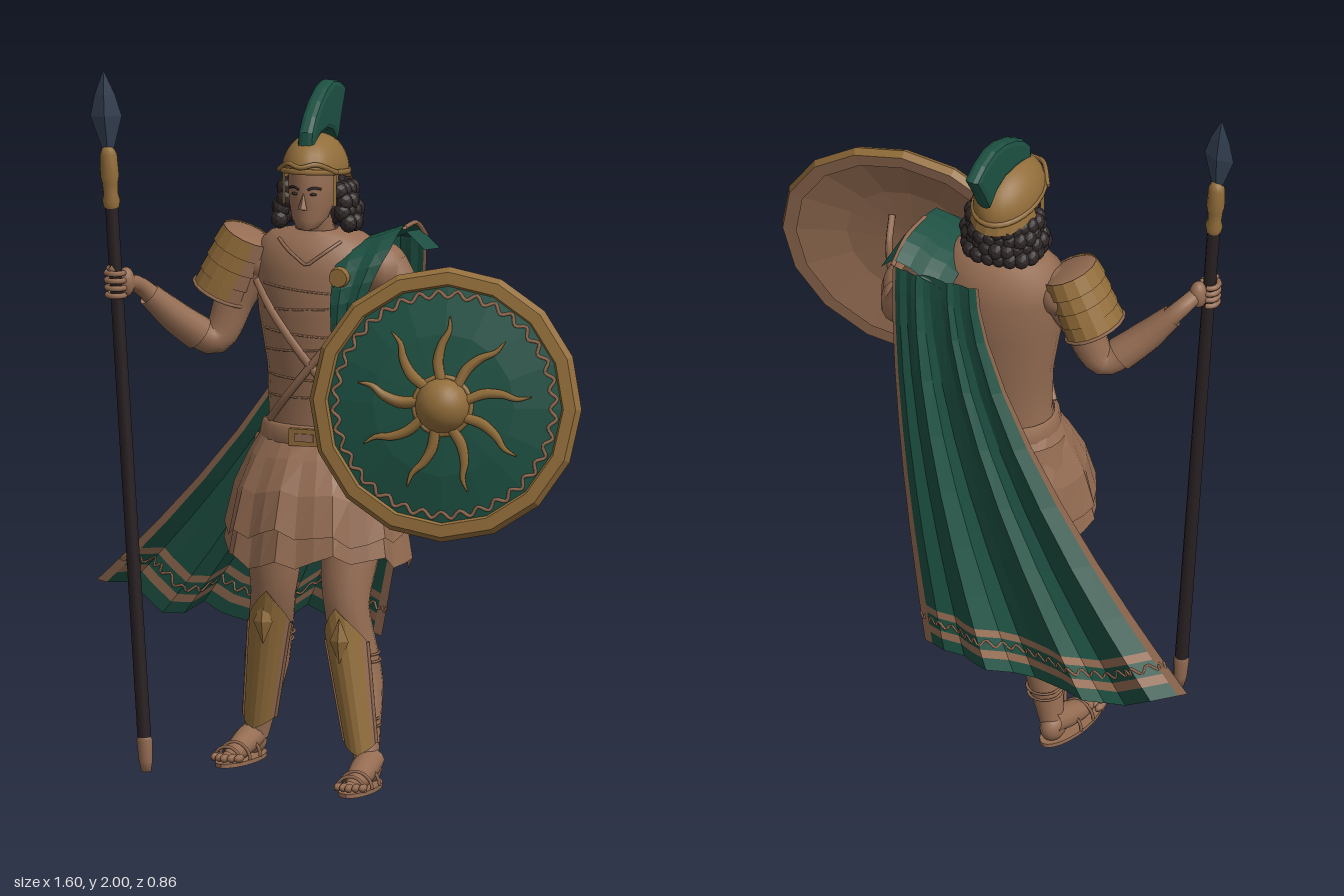
import * as THREE from 'three';
import { mergeVertices } from 'three/addons/utils/BufferGeometryUtils.js';

const mat = (name, color) => Object.assign(new THREE.MeshStandardMaterial({ color, side: THREE.DoubleSide }), { name });
const M = {
  skin: mat('tan', 0x946c52), green: mat('green', 0x1d5042), gold: mat('bronze', 0x926d3a),
  shaft: mat('dark wood', 0x292123), steel: mat('steel', 0x354254), hair: mat('dark hair', 0x2e2626),
};
const V = (x, y, z) => new THREE.Vector3(x, y, z);
const lerp = THREE.MathUtils.lerp;

// Linear lookup in a table of rows sorted by their first number
function lookup(table, k) {
  let i = 0;
  while (i < table.length - 2 && k > table[i + 1][0]) i++;
  const a = table[i], b = table[i + 1], t = THREE.MathUtils.clamp((k - a[0]) / (b[0] - a[0]), 0, 1);
  return a.map((n, j) => lerp(n, b[j], t));
}

// Surface f(i, j) over a grid of points; keep(i, j) picks the cells
function grid(nu, nv, f, smooth = false, keep = () => true) {
  const p = [];
  for (let j = 0; j < nv; j++) for (let i = 0; i < nu; i++) if (keep(i, j)) {
    const a = f(i, j), b = f(i + 1, j), c = f(i + 1, j + 1), d = f(i, j + 1);
    for (const v of [a, b, d, b, c, d]) p.push(v.x, v.y, v.z);
  }
  let g = new THREE.BufferGeometry();
  g.setAttribute('position', new THREE.Float32BufferAttribute(p, 3));
  if (smooth) g = mergeVertices(g, 1e-4);
  g.computeVertexNormals();
  return g;
}

// Horizontal elliptical rings: [y, x, z, radiusX, radiusZ]
function loft(rows, n = 24) {
  return grid(n, rows.length - 1, (i, j) => {
    const [y, x, z, rx, rz] = rows[j], a = (i % n) / n * Math.PI * 2;
    return V(x + rx * Math.sin(a), y, z + rz * Math.cos(a));
  }, true);
}

// Tube along points with changing radius
function limb(points, radii, sides = 12, steps = 20, closed = false) {
  const curve = new THREE.CatmullRomCurve3(points.map(p => V(...p)), closed);
  const g = new THREE.TubeGeometry(curve, steps, 1, sides, closed), pos = g.attributes.position, v = V(0, 0, 0);
  const table = radii.map((q, k) => [k / (radii.length - 1 || 1), q]).concat([[1.001, radii.at(-1)]]);
  for (let i = 0; i < pos.count; i++) {
    const u = Math.floor(i / (sides + 1)) / steps, c = curve.getPointAt(u);
    v.fromBufferAttribute(pos, i).sub(c).multiplyScalar(lookup(table, u)[1]).add(c);
    pos.setXYZ(i, v.x, v.y, v.z);
  }
  return g;
}
function flat(g) { const f = g.index ? g.toNonIndexed() : g; f.computeVertexNormals(); return f; }
function ball(x, y, z, rx, ry = rx, rz = rx, n = 16) {
  return new THREE.SphereGeometry(1, n, Math.ceil(n * .7)).scale(rx, ry, rz).translate(x, y, z);
}

const TORSO = [[.93, -.05, -.03, .165, .13], [1, -.045, -.03, .155, .12], [1.15, -.045, -.03, .16, .125],
  [1.3, -.05, -.03, .18, .14], [1.42, -.05, -.03, .19, .14], [1.49, -.055, -.03, .182, .12], [1.525, -.06, -.025, .135, .085],
  [1.54, -.06, -.01, .06, .06]];
function chest(x, y, off) {
  const [, cx, cz, rx, rz] = lookup(TORSO, y);
  return [x, y, cz + off + rz * Math.sqrt(Math.max(.02, 1 - ((x - cx) / rx) ** 2))];
}
function across(x0, y0, x1, y1, off) {
  return Array.from({ length: 7 }, (_, i) => chest(lerp(x0, x1, i / 6), lerp(y0, y1, i / 6), off));
}

export function createModel() {
  const root = new THREE.Group();
  const add = (name, g, m, parent = root) => {
    const o = new THREE.Mesh(g, m); o.name = name; parent.add(o); return o;
  };
  const sub = name => { const g = new THREE.Group(); g.name = name; root.add(g); return g; };

  // Torso, armour ridges and crossed straps
  add('torso', loft(TORSO), M.skin);
  for (const [y, d] of [[1.39, -.02], [1.32, .015], [1.26, -.015], [1.2, .02], [1.13, -.01], [1.07, .01]])
    add('torsoRidge', limb(across(-.19, y, .08, y + d, .001), [.003], 5), M.skin);
  add('collar', limb([...across(-.15, 1.515, -.06, 1.455, .003), ...across(-.05, 1.455, .03, 1.515, .003)], [.005], 6), M.skin);
  add('strap', limb(across(-.22, 1.39, .09, 1.0, .004), [.012], 6), M.skin);
  add('strap', limb(across(.1, 1.34, -.18, 1.0, .006), [.012], 6), M.skin);
  add('belt', loft([[.94, -.05, -.03, .17, .13], [.945, -.05, -.03, .178, .143], [.99, -.048, -.03, .172, .138], [.995, -.048, -.03, .16, .12]]), M.skin);
  add('buckle', new THREE.BoxGeometry(.09, .048, .016).translate(-.055, .967, .113), M.gold);
  add('buckleSlot', new THREE.BoxGeometry(.055, .022, .006).translate(-.055, .967, .122), M.skin);

  // Wrapped skirt in two broad-pleated layers, dipping behind the left hip
  for (const [name, low, out, seed] of [['innerSkirt', .61, 0, 0], ['outerSkirt', .68, .006, 2]]) {
    const n = 30, levels = [[0, 0], [.2, .32], [.55, .75], [1, 1]];
    add(name, grid(n, 3, (i, j) => {
      const k = i % n, a = k / n * Math.PI * 2, [h, w] = levels[j];
      const hem = low + .015 * Math.sin(a * 3 + seed) + .014 * (k % 3) - .06 * Math.max(0, Math.cos(a - 2.4)) ** 6;
      const full = (low - .6) / .4, pleat = ((k % 3) - 1) * .008 * h;
      const rx = lerp(.165, .262 - .04 * full, w) + out + pleat, rz = lerp(.128, .225 - .02 * full, w) + out + pleat;
      return V(-.055 + rx * Math.sin(a), lerp(.955, hem, h), lerp(-.03, -.01, h) + rz * Math.cos(a));
    }), M.skin);
  }

  // Legs with greaves, ankle bands and sandals
  for (const [side, leg, top, bot, foot, yaw] of [
    ['left', [[.05, .92, -.01], [.06, .7, .04], [.056, .5, .08], [.09, .3, .07], [.13, .06, .13]], [.052, .5, .09], [.122, .09, .135], [.14, .11], 0],
    ['right', [[-.15, .92, -.05], [-.195, .7, -.07], [-.21, .5, -.09], [-.247, .3, -.153], [-.285, .06, -.17]], [-.208, .5, -.1], [-.272, .09, -.16], [-.29, -.2], -.14]]) {
    const g = sub(side + 'Leg');
    add('leg', limb(leg, [.1, .092, .063, .064, .033], 16, 24), M.skin, g);
    const shin = (s, t, grow = 0) => {
      const a = s * 1.35, y = lerp(.5 - .1 * Math.abs(s), .09 + .03 * Math.abs(s), t);
      const k = (.5 - y) / .41, r = lerp(1, .68, k) + grow;
      return V(lerp(top[0], bot[0], k) + .067 * r * Math.sin(a), y, lerp(top[2], bot[2], k) + .09 * r * Math.cos(a));
    };
    const plate = (i, j) => shin(i / 4 - 1, 1 - j / 5), isSide = i => i === 0 || i === 7;
    add('greave', grid(8, 5, plate, false, i => !isSide(i)), M.gold, g);
    add('greaveSides', grid(8, 5, plate, false, isSide), M.skin, g);
    add('greaveLining', grid(8, 5, (i, j) => shin(i / 4 - 1, 1 - j / 5, -.07)), M.skin, g);
    for (const s of [-1, 1])
      add('greaveEdge', limb([0, .25, .5, .75, 1].map(t => shin(s, t).toArray()), [.006], 6), M.skin, g);
    const knee = shin(0, .22, .02);
    add('greaveBoss', flat(new THREE.OctahedronGeometry(1).scale(.028, .065, .014).translate(knee.x, knee.y, knee.z)), M.gold, g);
    for (const y of [.165, .185, .34, .36]) {
      const k = (.5 - y) / .41, r = y > .3 ? .064 : .047, low = y < .3;
      add('legBand', new THREE.TorusGeometry(r, .004, 5, 20).rotateX(Math.PI / 2)
        .translate(lerp(leg[2][0], leg[4][0], k), y, low ? leg[4][2] - .012 : leg[3][2]), M.skin, g);
    }
    const f = new THREE.Group(); f.name = 'foot'; g.add(f);
    f.position.set(foot[0], 0, foot[1]); f.rotation.y = yaw;
    const sole = new THREE.Shape().absellipse(0, 0, .05, .132, 0, Math.PI * 2);
    add('sole', new THREE.ExtrudeGeometry(sole, { depth: .012, bevelEnabled: false }).rotateX(-Math.PI / 2).translate(0, 0, .11), M.skin, f);
    add('heel', ball(0, .045, .025, .034, .042, .043), M.skin, f);
    add('instep', limb([[0, .07, .01], [0, .05, .08], [0, .028, .16], [0, .024, .2]], [.034, .036, .03, .016]).scale(1.15, 1, 1), M.skin, f);
    for (let i = 0; i < 5; i++)
      add('toe', ball((i - 2) * .018, .024, .215 - Math.abs(i - 2) * .008, .011, .012, .025, 8), M.skin, f);
    for (const [z, r] of [[.09, .05], [.15, .047], [.2, .042]])
      add('sandalStrap', new THREE.TorusGeometry(r, .005, 5, 12, Math.PI).translate(0, .012, z), M.skin, f);
  }

  // Arms: the right one raised to the spear, the left one behind the shield
  const ra = sub('rightArm'), la = sub('leftArm');
  add('shoulder', ball(-.235, 1.44, -.02, .065, .07, .075), M.skin, ra);
  add('arm', limb([[-.23, 1.44, -.02], [-.29, 1.34, -.005], [-.345, 1.215, .02], [-.43, 1.27, .075], [-.525, 1.375, .145], [-.545, 1.395, .195]],
    [.064, .057, .047, .04, .028, .022], 14, 30), M.skin, ra);
  add('bracer', limb([[-.385, 1.23, .045], [-.44, 1.28, .085], [-.505, 1.35, .13]], [.05, .045, .034]), M.skin, ra);
  add('palm', ball(-.55, 1.395, .2, .026, .042, .028), M.skin, ra);
  add('thumb', limb([[-.56, 1.4, .2], [-.575, 1.43, .235], [-.585, 1.445, .25]], [.012, .011, .008], 8), M.skin, ra);
  for (let i = 0; i < 4; i++)
    add('finger', new THREE.TorusGeometry(.025, .008, 7, 16, 4.6).rotateX(Math.PI / 2).translate(-.573 + i * .001, 1.425 - i * .021, .226), M.skin, ra);
  add('shoulder', ball(.135, 1.43, -.01, .07, .08, .08), M.skin, la);
  add('arm', limb([[.14, 1.44, -.01], [.21, 1.32, -.015], [.285, 1.19, -.01], [.345, 1.17, .1], [.395, 1.155, .23]], [.066, .058, .047, .04, .024], 14, 30), M.skin, la);
  add('bracer', limb([[.312, 1.18, .045], [.35, 1.17, .11], [.375, 1.16, .175]], [.051, .046, .036]), M.skin, la);
  add('hand', ball(.4, 1.15, .25, .032, .04, .03), M.skin, la);

  // Layered shoulder guard on the right arm: bronze outside, tan inside
  const guard = sub('shoulderGuard');
  guard.position.set(-.294, 1.427, -.005);
  guard.quaternion.setFromUnitVectors(V(0, 1, 0), V(.078, .165, 0).normalize());
  for (let i = 0; i < 4; i++) for (const [m, start, arc] of [[M.gold, Math.PI * 1.5 - 2.1, 4.2], [M.skin, Math.PI * 1.5 + 2.1, Math.PI * 2 - 4.2]])
    add('guardPlate', flat(new THREE.CylinderGeometry(.078 + i * .001, .085, .052, m === M.gold ? 10 : 5, 1, true, start, arc)
      .scale(1, 1, 1.1).translate(0, .068 - i * .045, 0)), m, guard);
  add('guardRim', new THREE.TorusGeometry(.085, .005, 6, 18).rotateX(Math.PI / 2).scale(1, 1, 1.1).translate(0, -.093, 0), M.skin, guard);
  add('guardCap', ball(0, .085, 0, .078, .018, .086), M.skin, guard);

  // Head and face
  const head = sub('head');
  add('neck', limb([[-.058, 1.49, -.02], [-.06, 1.54, -.005], [-.06, 1.61, .015]], [.06, .05, .05]), M.skin, head);
  add('skull', loft([[1.548, -.06, .085, .008, .008], [1.555, -.06, .075, .03, .032], [1.58, -.06, .05, .05, .06], [1.62, -.06, .03, .062, .08],
    [1.67, -.06, .022, .068, .092], [1.73, -.06, .01, .068, .095]]), M.skin, head);
  add('nose', flat(new THREE.ConeGeometry(.014, .05, 4).rotateX(-.25).translate(-.06, 1.637, .117)), M.skin, head);
  add('lips', ball(-.06, 1.597, .103, .02, .007, .007, 8), M.skin, head);
  for (const s of [-1, 1]) {
    add('eye', ball(-.06 + s * .026, 1.655, .106, .011, .004, .006, 8), M.hair, head);
    add('brow', limb([[-.06 + s * .012, 1.668, .113], [-.06 + s * .028, 1.674, .108], [-.06 + s * .046, 1.669, .094]], [.0035], 5), M.hair, head);
    add('cheekStrap', grid(1, 3, (i, j) => V(-.06 + s * (.075 - .002 * i), 1.615 + j * .03, .045 + i * .025)), M.gold, head);
  }

  // Curly hair, fuller toward the nape
  add('hairMass', ball(-.06, 1.61, -.045, .09, .075, .08), M.hair, head);
  for (let j = 0; j < 4; j++) for (let i = 0; i < 15; i++) {
    const a = lerp(-.64, .64, i / 14) * Math.PI + (j % 2) * .08, r = 1.05 - .065 * j + .06 * Math.sin(i * 5 + j * 3);
    add('curl', flat(new THREE.IcosahedronGeometry(.024, 1).scale(1, 1.15, 1)
      .translate(-.06 + .104 * r * Math.sin(a), 1.563 + j * .029, -.022 - .096 * r * Math.cos(a))), M.hair, head);
  }

  // Helmet with crest
  const helmet = sub('helmet');
  helmet.position.set(-.06, 1.705, 0); helmet.rotation.x = -.13;
  add('dome', new THREE.SphereGeometry(1, 24, 10, 0, Math.PI * 2, 0, Math.PI / 2).scale(.09, .105, .136), M.gold, helmet);
  add('brim', new THREE.TorusGeometry(1, .06, 6, 28).rotateX(Math.PI / 2).scale(.09, .15, .137), M.gold, helmet);
  add('browArch', limb([[-.085, .0, .07], [-.04, .022, .13], [0, .012, .147], [.04, .022, .13], [.085, 0, .07]], [.007], 6), M.gold, helmet);
  add('neckFlare', grid(8, 1, (i, j) => {
    const a = Math.PI + (i / 8 - .5) * 2.8, r = j ? 1 : 1.1;
    return V(.092 * r * Math.sin(a), j ? 0 : -.035, .135 * r * Math.cos(a));
  }), M.gold, helmet);
  const crest = new THREE.Shape([[.09, 1.775], [.085, 1.825], [.05, 1.865], [0, 1.9], [-.06, 1.927], [-.12, 1.938], [-.18, 1.925], [-.232, 1.897],
    [-.19, 1.825], [-.155, 1.758], [-.11, 1.795], [-.06, 1.81], [0, 1.805]].map(p => new THREE.Vector2(...p)));
  add('crest', new THREE.ExtrudeGeometry(crest, { depth: .016, bevelSize: .016, bevelThickness: .016, bevelOffset: -.016, bevelSegments: 2 })
    .rotateY(-Math.PI / 2).translate(-.055, 0, 0), M.green, root);

  // Cape sweeping out to the right, striped along hem and edges
  const columns = [0, .035, .1, .17, .24, .3, .36, .43, .5, .58, .66, .71, .78, .86, .9, .97, 1];
  const folds = [0, .1, .4, .3, .75, 1, .35, .15, .3, .5, .9, .4, .25, .45, .6, .1, 0];
  const down = [0, .06, .15, .28, .42, .56, .7, .82, .9, .918, .95, .97, 1];
  const capePoint = (i, j) => {
    const u = columns[i], f = folds[i], t = down[j], k = Math.pow(t, 1.5);
    const hemY = .328 + Math.max(0, u - .76) / .24 * .112 + .055 * f;
    return V(lerp(lerp(.2, -.06, u), lerp(.03, -.8, u), k), lerp(1.49, hemY, t), lerp(-.2 + .02 * u, -.325, t) - f * (.015 + .09 * t));
  };
  const stripe = (i, j) => i === 0 || i === 15 || j === 8 || j === 10;
  add('cape', grid(16, 12, capePoint, false, (i, j) => !stripe(i, j)), M.green);
  add('capeStripes', grid(16, 12, capePoint, false, stripe), M.skin);
  const trimRow = Array.from({ length: 49 }, (_, i) => {
    const c = Math.floor(i / 3), a = capePoint(c, 9), d = capePoint(c, 10);
    const p = a.clone().lerp(capePoint(Math.min(16, c + 1), 9), (i % 3) / 3).add(d.sub(a).multiplyScalar(i % 2 ? .75 : .25));
    return p.toArray();
  });
  add('capeTrim', limb(trimRow, [.004], 4, 144), M.skin);

  // Cloth over the left shoulder, its sash and clasp
  const drape = new THREE.CatmullRomCurve3([[1.25, .125], [1.36, .135], [1.45, .11], [1.515, .05], [1.53, -.05], [1.52, -.14], [1.49, -.205]].map(p => V(0, ...p)));
  add('shoulderCloth', grid(4, 12, (i, j) => {
    const t = j / 12, p = drape.getPoint(t), u = i / 4, rise = Math.min(1, t * 2);
    return V(lerp(.025, lerp(.08, .19, Math.min(1, t * 2.2)), u), p.y + (.06 * u - .035) * rise, p.z + (i % 2) * .008 - .03 * u * (1 - t));
  }), M.green);
  add('clothFlap', grid(1, 2, (i, j) => V(.188 + i * .055, 1.535 - i * .05 - j * .01, -.05 - j * .07)), M.green);
  add('clothEdge', limb([[.19, 1.55, -.03], [.195, 1.545, -.13], [.198, 1.495, -.205]], [.007], 6), M.skin);
  const sash = new THREE.CatmullRomCurve3([[.03, 1.4, .125], [.1, 1.29, .09], [.14, 1.19, -.01], [.1, 1.12, -.13], [.02, 1.11, -.165]].map(p => V(...p)));
  add('sash', grid(16, 1, (i, j) => sash.getPoint(i / 16).add(V(0, j * .045 - .02, 0))), M.green);
  add('clasp', new THREE.CylinderGeometry(.026, .03, .02, 14).rotateX(Math.PI / 2).translate(.05, 1.43, .135), M.gold);

  // Spear, leaning slightly outward
  const spear = sub('spear'), base = V(-.49, .012, .2), dir = V(-.605, 2, .235).sub(base), L = dir.length();
  spear.position.copy(base); spear.quaternion.setFromUnitVectors(V(0, 1, 0), dir.normalize());
  const turned = (pts, n) => new THREE.LatheGeometry(pts.map(p => new THREE.Vector2(...p)), n);
  add('shaft', new THREE.CylinderGeometry(.018, .019, 1.56, 10).translate(0, .86, 0), M.shaft, spear);
  add('buttCap', turned([[0, 0], [.014, 0], [.019, .03], [.022, .09], [.018, .1]], 10), M.skin, spear);
  add('socket', turned([[.021, 1.6], [.025, 1.62], [.02, 1.64], [.022, 1.67], [.026, 1.69], [.024, 1.75], [.016, 1.77], [0, 1.775]], 10), M.gold, spear);
  add('blade', flat(turned([[.014, 1.755], [.046, 1.86], [.03, 1.92], [0, L]], 4).rotateY(Math.PI / 2).scale(1, 1, .35)), M.steel, spear);

  // Round shield facing forward, tipped up and out
  const shield = sub('shield');
  shield.position.set(.417, 1.125, .31);
  shield.quaternion.setFromUnitVectors(V(0, 0, 1), V(.14, .13, 1).normalize());
  const disc = (pts, n) => flat(turned(pts, n).rotateX(Math.PI / 2));
  add('shieldFace', disc([[.345, .008], [.2, .04], [.001, .055]], 16), M.green, shield);
  add('shieldBack', disc([[.001, .035], [.2, .02], [.35, -.018]], 16), M.skin, shield);
  add('shieldRimBack', disc([[.335, -.02], [.375, -.022]], 16), M.skin, shield);
  add('shieldRim', disc([[.375, -.022], [.384, 0], [.37, .02], [.336, .022], [.328, .008]], 16), M.gold, shield);
  add('boss', new THREE.SphereGeometry(.078, 18, 8, 0, Math.PI * 2, 0, Math.PI / 2).scale(1, .95, 1).rotateX(Math.PI / 2).translate(0, 0, .047), M.gold, shield);
  add('bossRing', new THREE.TorusGeometry(.08, .008, 6, 20).translate(0, 0, .052), M.gold, shield);
  for (let i = 0; i < 9; i++) {
    const ray = [[.07, 0], [.12, .06], [.17, -.03], [.21, -.13], [.25, -.12]].map(([r, da]) => {
      const a = i / 9 * Math.PI * 2 + .25 + da;
      return [r * Math.cos(a), r * Math.sin(a), .055 - Math.max(0, r - .05) * .1];
    });
    add('sunRay', limb(ray, [.015, .017, .014, .009, .002], 6, 14), M.gold, shield);
  }
  add('shieldTrim', limb(Array.from({ length: 72 }, (_, i) => {
    const a = i / 72 * Math.PI * 2, r = i % 2 ? .318 : .298;
    return [r * Math.cos(a), r * Math.sin(a), .046 - (r - .165) * .21];
  }), [.005], 4, 288, true), M.skin, shield);
  for (const x of [-.07, .06])
    add('shieldGrip', limb([[x, .1, .02], [x * .8, .05, -.045], [x * .8, -.05, -.045], [x, -.1, .02]], [.01], 7), M.skin, shield);

  return root;
}
